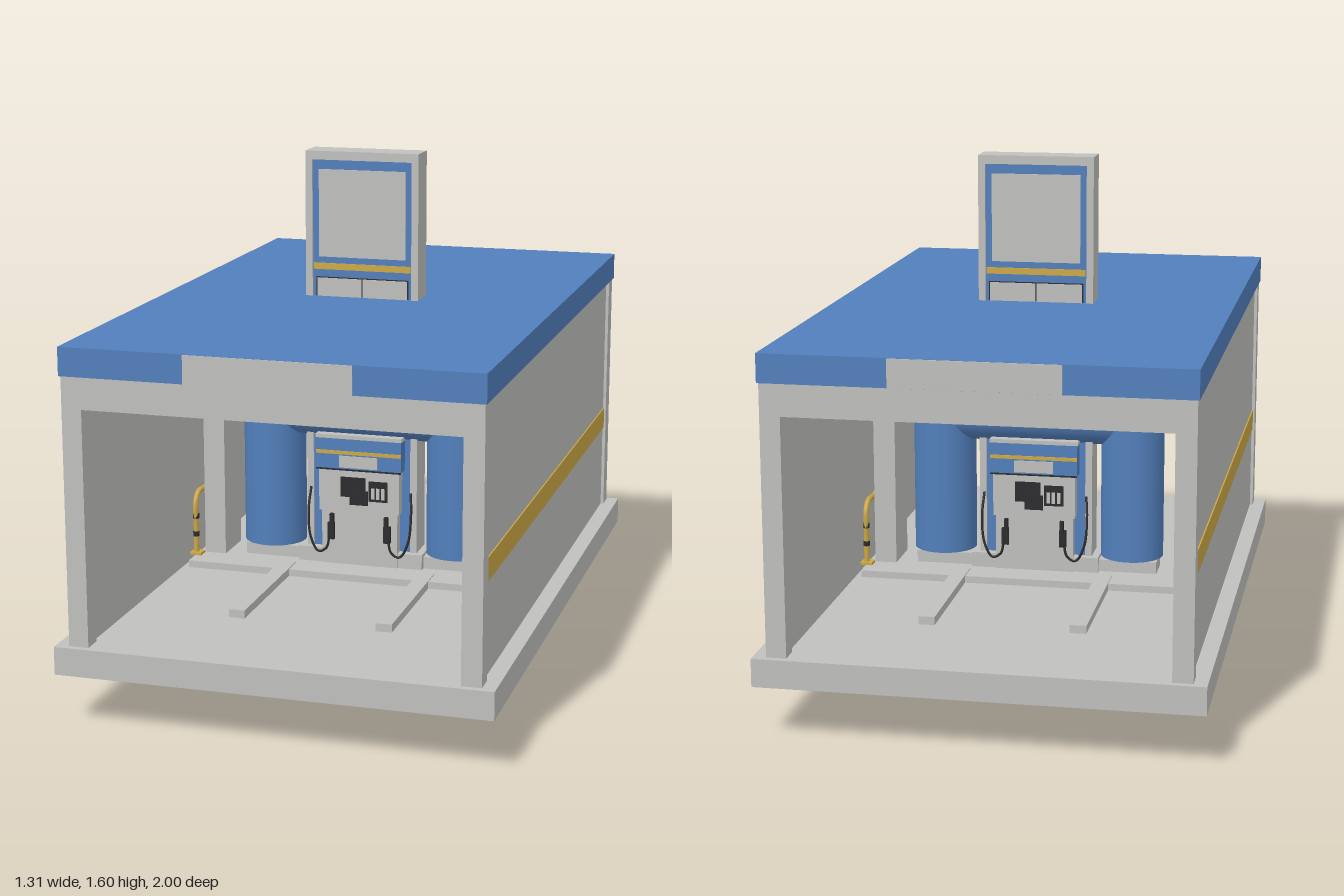
import * as THREE from 'three';

export function createModel() {
  const mat = (name, color) => {
    const m = new THREE.MeshStandardMaterial({ color });
    m.name = name;
    return m;
  };
  const grey = mat('light grey', 0xbfbfbd);
  const blue = mat('blue', 0x527fbb);
  const yellow = mat('yellow', 0xcca845);
  const dark = mat('charcoal', 0x2b2b2d);

  const model = new THREE.Group();
  model.name = 'carWashStation';

  const add = (parent, name, geo, material) => {
    const m = new THREE.Mesh(geo, material);
    m.name = name;
    parent.add(m);
    return m;
  };
  // Box given by its limits on each axis
  const box = (parent, name, material, x0, x1, y0, y1, z0, z1) => {
    const m = add(parent, name, new THREE.BoxGeometry(x1 - x0, y1 - y0, z1 - z0), material);
    m.position.set((x0 + x1) / 2, (y0 + y1) / 2, (z0 + z1) / 2);
    return m;
  };
  const tube = (parent, name, material, points, r) => add(parent, name,
    new THREE.TubeGeometry(new THREE.CatmullRomCurve3(points.map(p => new THREE.Vector3(...p))), 32, r, 8), material);

  // Floor slab, roof and ceiling
  box(model, 'floorSlab', grey, -0.655, 0.655, 0.165, 0.25, -1, 1);
  box(model, 'roof', blue, -0.62, 0.62, 1.055, 1.14, -0.985, 0.985);
  box(model, 'ceiling', grey, -0.605, 0.605, 1.047, 1.055, -0.92, 0.92);
  box(model, 'floorMat', grey, -0.545, 0.545, 0.25, 0.272, -0.18, 0.18);

  // Side walls, corner posts, stripes
  for (const s of [-1, 1]) {
    const side = new THREE.Group();
    side.name = s > 0 ? 'leftSide' : 'rightSide';
    model.add(side);
    const sbox = (name, m, a, b, ...rest) => box(side, name, m, Math.min(s * a, s * b), Math.max(s * a, s * b), ...rest);
    sbox('wall', grey, 0.565, 0.605, 0.25, 1.055, -0.92, 0.92);
    sbox('wallStripe', yellow, 0.605, 0.609, 0.53, 0.6, -0.92, 0.92);
    for (const z of [-0.95, 0.95]) sbox('cornerPost', grey, 0.555, 0.615, 0.25, 1.055, z - 0.03, z + 0.03);

    // Washing portal leg and vertical brush
    sbox('portalLeg', grey, 0.455, 0.525, 0.25, 0.96, -0.075, 0.075);
    const brush = add(side, 'verticalBrush', new THREE.CylinderGeometry(0.1, 0.1, 0.51, 40), blue);
    brush.position.set(s * 0.305, 0.575, 0);

    // Yellow guard hoop with dark bands
    const x = s * 0.547;
    tube(side, 'guardHoop', yellow, [[x, 0.27, 0.1], [x, 0.36, 0.1], [x, 0.45, 0.1], [x, 0.473, 0.08],
      [x, 0.473, 0], [x, 0.473, -0.08], [x, 0.45, -0.1], [x, 0.36, -0.1], [x, 0.27, -0.1]], 0.009);
    for (const z of [-0.1, 0.1]) {
      for (const y of [0.34, 0.4]) {
        const band = add(side, 'hoopBand', new THREE.CylinderGeometry(0.0105, 0.0105, 0.016, 12), dark);
        band.position.set(x, y, z);
      }
      sbox('hoopFoot', yellow, 0.525, 0.563, 0.272, 0.28, z - 0.02, z + 0.02);
    }
  }

  // Portal beam and horizontal brush
  box(model, 'portalBeam', grey, -0.525, 0.525, 0.905, 0.96, -0.075, 0.075);
  const roller = add(model, 'horizontalBrush', new THREE.CylinderGeometry(0.092, 0.092, 0.63, 40), blue);
  roller.rotation.z = Math.PI / 2;
  roller.position.y = 0.773;

  // Central sign tower: frame around a blue core
  const sign = new THREE.Group();
  sign.name = 'signTower';
  model.add(sign);
  for (const s of [-1, 1]) box(sign, 'signFrameSide', grey, s * 0.171 - 0.011, s * 0.171 + 0.011, 0.25, 1.57, -0.05, 0.05);
  box(sign, 'signFrameTop', grey, -0.182, 0.182, 1.57, 1.597, -0.05, 0.05);
  box(sign, 'signCore', blue, -0.16, 0.16, 0.25, 1.57, -0.042, 0.042);

  // Island and block under the slab
  box(model, 'island', grey, -0.39, 0.39, 0.162, 0.31, -0.05, 0.05);
  box(model, 'pumpPlinth', grey, -0.205, 0.205, 0.25, 0.32, -0.07, 0.07);
  box(model, 'underPlate', grey, -0.205, 0.205, 0.13, 0.165, -0.083, 0.08);
  box(model, 'underBlock', grey, -0.122, 0.12, 0.003, 0.13, -0.08, 0);
  for (const z of [-0.082, 0.002]) {
    box(model, 'underBlueBand', blue, -0.122, 0.12, 0.04, 0.085, z - 0.002, z + 0.002);
    box(model, 'underYellowBand', yellow, -0.122, 0.12, 0.085, 0.117, z - 0.002, z + 0.002);
    box(model, 'underFoot', dark, -0.122, 0.12, 0, 0.006, z - 0.002, z + 0.002);
  }

  // Everything that faces an open end, built once and turned for the other end
  for (const turn of [0, Math.PI]) {
    const end = new THREE.Group();
    end.name = turn ? 'backEnd' : 'frontEnd';
    end.rotation.y = turn;
    model.add(end);
    const plate = (name, m, x0, x1, y0, y1, z, t = 0.004) => box(end, name, m, x0, x1, y0, y1, z, z + t);

    box(end, 'header', grey, -0.555, 0.555, 0.96, 1.055, 0.92, 0.98);
    plate('roofPlate', grey, -0.245, 0.245, 1.056, 1.139, 0.985);
    for (const s of [-1, 1]) box(end, 'wheelRail', grey, s * 0.23 - 0.025, s * 0.23 + 0.025, 0.25, 0.275, 0.1, 0.61);

    // Sign face
    plate('signPanel', grey, -0.14, 0.14, 1.265, 1.54, 0.042);
    plate('signStripe', yellow, -0.157, 0.157, 1.225, 1.245, 0.042);
    for (let i = 0; i < 5; i++) {
      const y = 0.873 + i * 0.066;
      plate('signRowBack', dark, -0.15, 0.15, y - 0.002, y + 0.064, 0.042, 0.002);
      for (const x of [-0.146, 0.002]) plate('signRow', grey, x, x + 0.144, y + 0.001, y + 0.061, 0.042, 0.005);
    }
    plate('brushStripe', yellow, -0.11, 0.11, 0.8, 0.816, 0.086, 0.009);

    // Fuel pump body, canopy and trims
    box(end, 'pumpBase', grey, -0.125, 0.125, 0.25, 0.45, 0.03, 0.075);
    box(end, 'pumpFace', grey, -0.132, 0.132, 0.45, 0.595, 0.03, 0.083);
    box(end, 'pumpCanopy', blue, -0.14, 0.14, 0.59, 0.69, 0.03, 0.088);
    box(end, 'pumpCap', grey, -0.142, 0.142, 0.69, 0.702, 0.03, 0.088);
    plate('canopyEdge', dark, -0.14, 0.14, 0.587, 0.592, 0.088, 0.002);
    plate('canopyStripe', yellow, -0.14, 0.14, 0.64, 0.651, 0.088);
    plate('canopyLabel', grey, -0.063, 0.063, 0.597, 0.635, 0.088);

    // Screen and keypad
    plate('screen', dark, -0.06, 0.022, 0.5, 0.565, 0.083);
    plate('screenLower', dark, -0.03, 0.03, 0.475, 0.522, 0.083, 0.005);
    plate('keypad', dark, 0.034, 0.095, 0.49, 0.556, 0.083);
    for (const x of [0.042, 0.058, 0.075]) plate('keypadSlot', grey, x, x + 0.011, 0.498, 0.535, 0.084);

    // Nozzles and hoses
    for (const s of [-1, 1]) {
      box(end, 'nozzleHolder', dark, s * 0.093 - 0.011, s * 0.093 + 0.011, 0.355, 0.41, 0.075, 0.088);
      box(end, 'nozzle', dark, s * 0.09 - 0.006, s * 0.09 + 0.006, 0.4, 0.44, 0.075, 0.092);
      tube(end, 'hose', dark, [[s * 0.165, 0.52, 0.06], [s * 0.17, 0.45, 0.075], [s * 0.162, 0.36, 0.083],
        [s * 0.135, 0.312, 0.086], [s * 0.108, 0.325, 0.086], [s * 0.097, 0.37, 0.086]], 0.004);
    }
  }
  return model;
}
